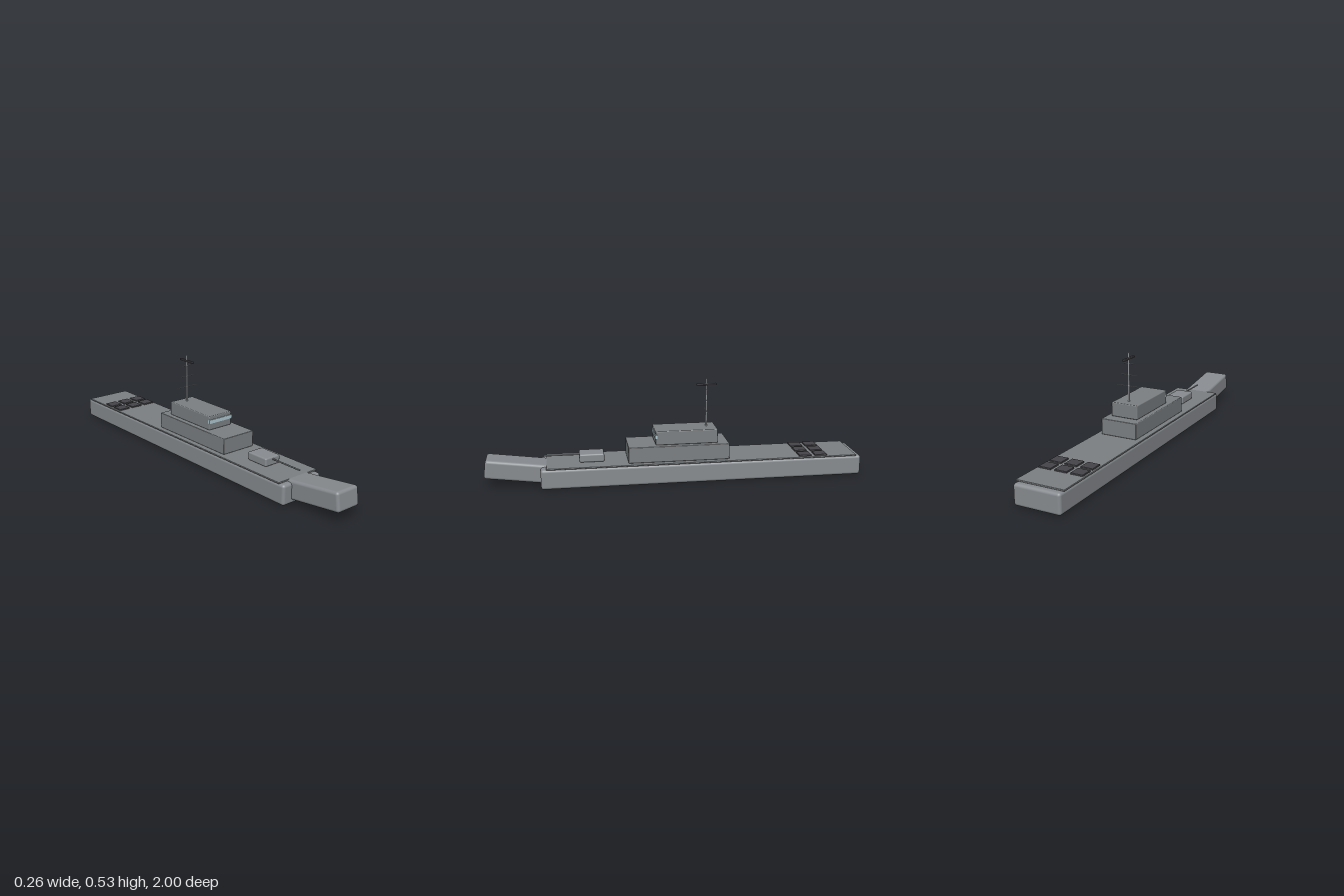
import * as THREE from 'three';
import { RoundedBoxGeometry } from 'three/addons/geometries/RoundedBoxGeometry.js';

const paint = (color) => new THREE.MeshStandardMaterial({ color });

export function createModel() {
  const ship = new THREE.Group();
  ship.name = 'warship';
  const hullGrey = paint(0x888c90), deckGrey = paint(0x7c8083), dark = paint(0x45454a);
  const glass = paint(0xb0c8d0), metal = paint(0xb4b8bc);

  const add = (name, geometry, material, x, y, z) => {
    const mesh = new THREE.Mesh(geometry, material);
    mesh.name = name;
    mesh.position.set(x, y, z);
    ship.add(mesh);
    return mesh;
  };
  // Box given by its full size and centre; r rounds the edges
  const box = (name, material, [w, h, d], [x, y, z], r = 0) =>
    add(name, r ? new RoundedBoxGeometry(w, h, d, 3, r) : new THREE.BoxGeometry(w, h, d), material, x, y, z);
  const rod = (name, material, radius, length, [x, y, z], axis = 'y') => {
    const g = new THREE.CylinderGeometry(radius, radius, length, 12);
    if (axis === 'x') g.rotateZ(Math.PI / 2);
    if (axis === 'z') g.rotateX(Math.PI / 2);
    return add(name, g, material, x, y, z);
  };

  // Hull, upturned bow and deck plate
  box('hull', hullGrey, [0.25, 0.107, 1.71], [0, 0.0535, -0.145], 0.015);
  box('bow', hullGrey, [0.142, 0.1, 0.4], [0, 0.08, 0.796], 0.015).rotation.x = -0.13;
  box('deck', deckGrey, [0.256, 0.008, 1.65], [0, 0.111, -0.145], 0.002);

  // Superstructure and bridge
  box('superstructure', deckGrey, [0.2, 0.085, 0.535], [0, 0.157, -0.012], 0.004);
  box('bridge', deckGrey, [0.15, 0.075, 0.33], [0, 0.2365, -0.055], 0.005);
  box('bridgeWindow', glass, [0.152, 0.02, 0.012], [0, 0.245, 0.108]);

  // Mast with yards and radar bar
  const mastZ = -0.17;
  rod('mast', metal, 0.005, 0.26, [0, 0.401, mastZ]);
  for (const [y, length] of [[0.357, 0.135], [0.416, 0.09], [0.475, 0.058]])
    rod('yard', metal, 0.002, length, [0, y, mastZ], 'x');
  box('radarBar', dark, [0.014, 0.01, 0.108], [0, 0.501, mastZ], 0.003);

  // Deck gun
  box('turret', hullGrey, [0.096, 0.044, 0.13], [0, 0.136, 0.443], 0.008);
  rod('gunBarrel', hullGrey, 0.004, 0.2, [0, 0.146, 0.59], 'z');

  // Launcher hatches on the aft deck
  for (const z of [-0.776, -0.691])
    for (const x of [-0.086, 0, 0.086])
      box('hatch', dark, [0.066, 0.009, 0.066], [x, 0.118, z], 0.002);

  return ship;
}
